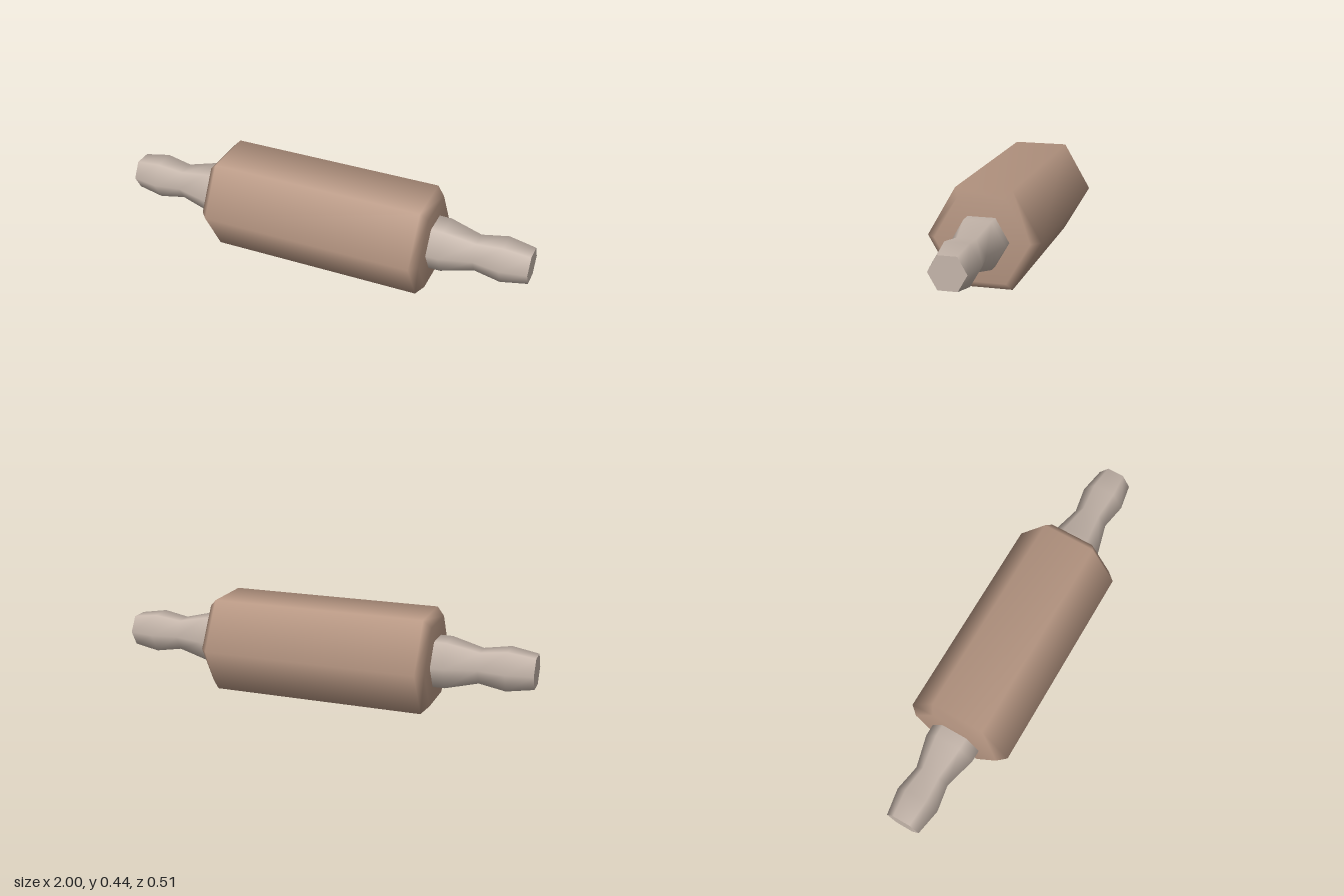
import * as THREE from 'three';

const SIDES = 6;
const AXIS_Y = 0.221;

// Hexagonal turned part along x, from [x, radius] pairs, points at +z and -z
function turned(profile) {
  const points = profile.map(([x, r]) => new THREE.Vector2(r, x));
  return new THREE.LatheGeometry(points, SIDES).rotateZ(-Math.PI / 2);
}

export function createModel() {
  const darkWood = new THREE.MeshStandardMaterial({ color: 0xb69682 });
  darkWood.name = 'rollerWood';
  const paleWood = new THREE.MeshStandardMaterial({ color: 0xc4b5aa });
  paleWood.name = 'handleWood';

  const model = new THREE.Group();
  model.name = 'rollingPin';

  // Roller with bevelled ends
  const roller = new THREE.Mesh(turned([
    [-0.543, 0], [-0.543, 0.214], [-0.507, 0.255],
    [0.507, 0.255], [0.543, 0.214], [0.543, 0],
  ]), darkWood);
  roller.name = 'roller';
  roller.position.y = AXIS_Y;
  model.add(roller);

  // Waisted handles, each closed by a flat end
  const gripShape = turned([
    [0.5, 0.123], [0.6, 0.123], [0.75, 0.083], [0.875, 0.105], [1, 0.083],
  ]);
  const endShape = new THREE.CircleGeometry(0.083, SIDES).rotateY(Math.PI / 2);
  for (const side of ['left', 'right']) {
    const handle = new THREE.Group();
    handle.name = side + 'Handle';
    const grip = new THREE.Mesh(gripShape, paleWood);
    grip.name = side + 'Grip';
    const end = new THREE.Mesh(endShape, paleWood);
    end.name = side + 'HandleEnd';
    end.position.x = 1;
    handle.add(grip, end);
    handle.position.y = AXIS_Y;
    if (side === 'right') handle.rotation.y = Math.PI;
    model.add(handle);
  }
  return model;
}
